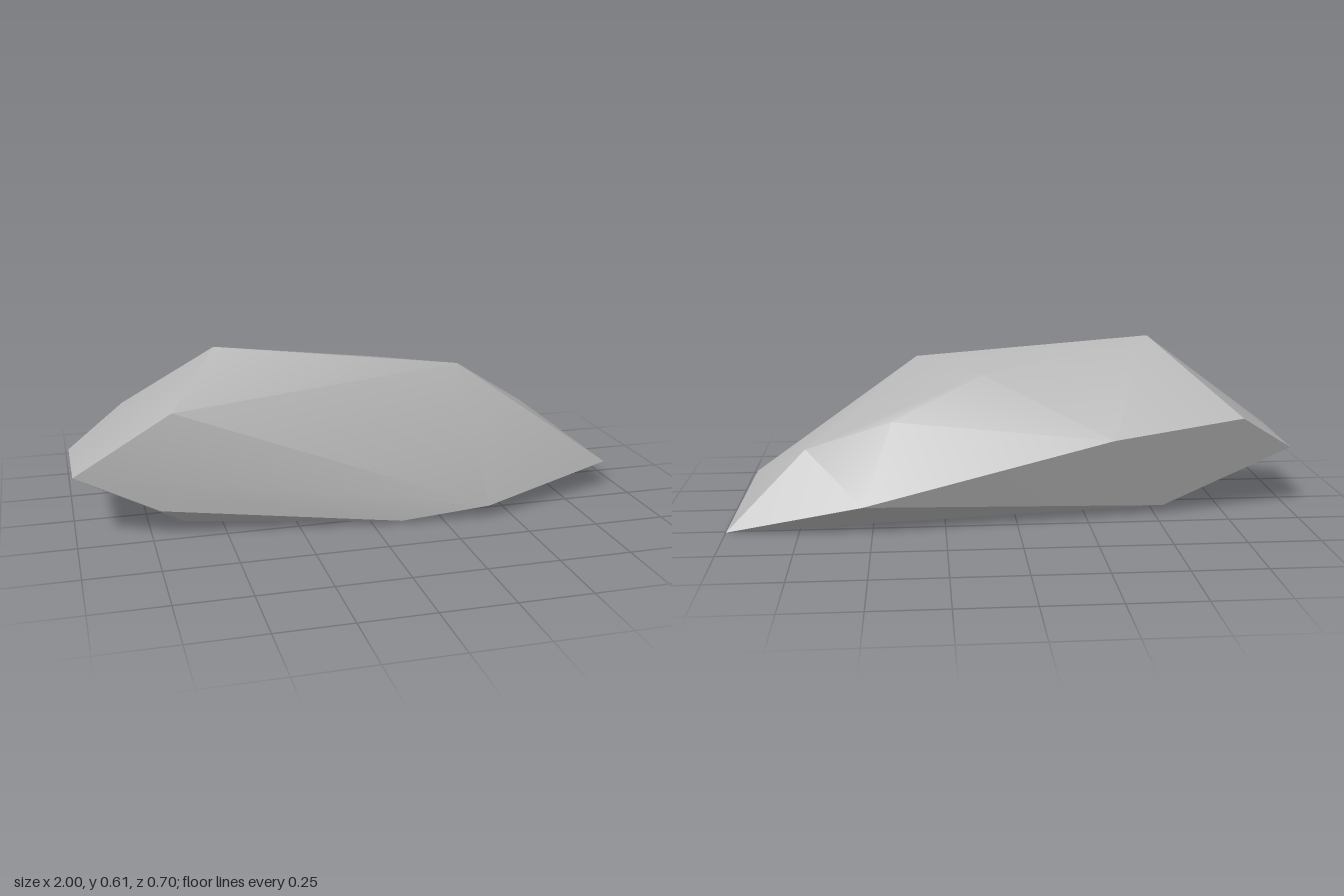
import * as THREE from 'three';
import { ConvexGeometry } from 'three/addons/geometries/ConvexGeometry.js';
import { toCreasedNormals } from 'three/addons/utils/BufferGeometryUtils.js';

export function createModel() {
  const group = new THREE.Group();
  group.name = 'rock';

  const stone = new THREE.MeshStandardMaterial({ color: 0xb4b4b4 });
  stone.name = 'grey stone';

  // Corners of the boulder, from the ridge down to the base
  const ridge = [[-0.5, 0.61, 0.065], [0.34, 0.525, 0.18], [0.11, 0.5, -0.08]];
  const shoulders = [
    [-0.67, 0.437, 0.235], [0.43, 0.357, -0.175], [0.73, 0.263, -0.163],
    [-0.8, 0.355, -0.21], [-0.33, 0.305, -0.295],
  ];
  const rim = [
    [-1, 0.235, 0.215], [-1, 0.225, -0.12], [0.94, 0.1, 0.165],
    [0.53, 0.105, -0.35], [0.41, 0.046, 0.35], [-0.72, 0.1, 0.24],
  ];
  const base = [
    [1, 0, -0.26], [0.1, 0.01, 0.32], [-0.64, 0.036, 0.19], [-0.53, 0.03, -0.16],
  ];
  const corners = [...ridge, ...shoulders, ...rim, ...base].map((p) => new THREE.Vector3(...p));

  // Shallow facets blend smoothly, steep ones stay sharp
  const geometry = toCreasedNormals(new ConvexGeometry(corners), THREE.MathUtils.degToRad(30));
  const boulder = new THREE.Mesh(geometry, stone);
  boulder.name = 'boulder';
  group.add(boulder);

  return group;
}
